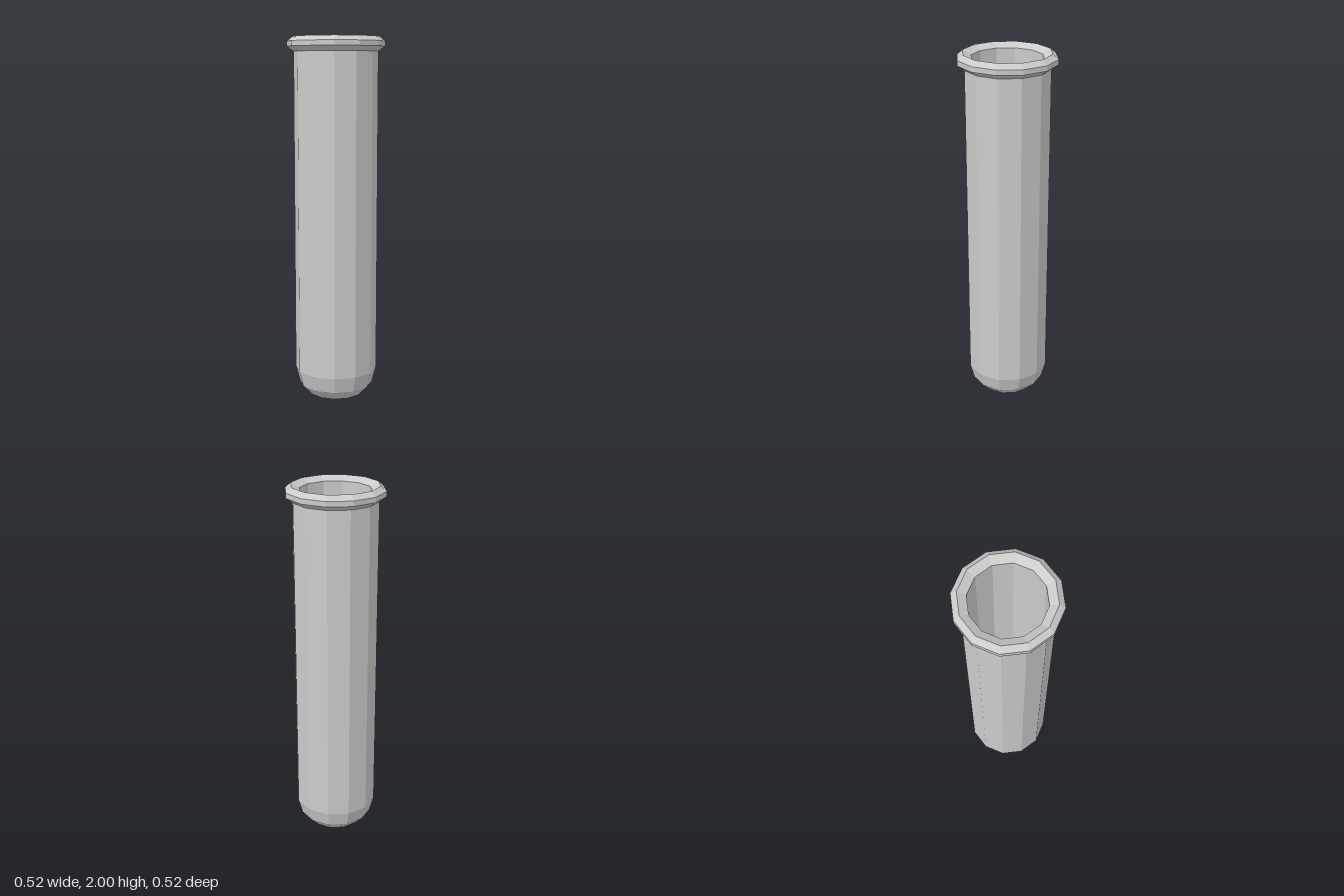
import * as THREE from 'three';

const SIDES = 12;

// Faceted solid of revolution from [radius, height] pairs, outer side listed bottom to top
function turned(name, profile, color) {
  const points = profile.map(([r, y]) => new THREE.Vector2(r, y));
  const geometry = new THREE.LatheGeometry(points, SIDES);
  const material = new THREE.MeshStandardMaterial({ color, flatShading: true });
  const mesh = new THREE.Mesh(geometry, material);
  mesh.name = name;
  return mesh;
}

export function createModel() {
  const group = new THREE.Group();
  group.name = 'testTube';

  // Glass: rounded bottom, straight wall, bevelled lip, then back down the inside
  group.add(turned('glassTube', [
    [0, 0], [0.04, 0.005], [0.147, 0.033], [0.203, 0.09], [0.226, 0.175],
    [0.226, 1.922],
    [0.262, 1.948], [0.262, 1.975], [0.232, 2.0], [0.188, 1.975],
    [0.188, 0.19], [0.165, 0.11], [0.118, 0.065], [0, 0.038],
  ], 0xcccccc));

  // Liquid filling the lower half, with a slightly dished surface
  group.add(turned('liquid', [
    [0, 0.04], [0.117, 0.067], [0.164, 0.112], [0.187, 0.192],
    [0.187, 1.0], [0, 0.985],
  ], 0x7acbd6));

  return group;
}
